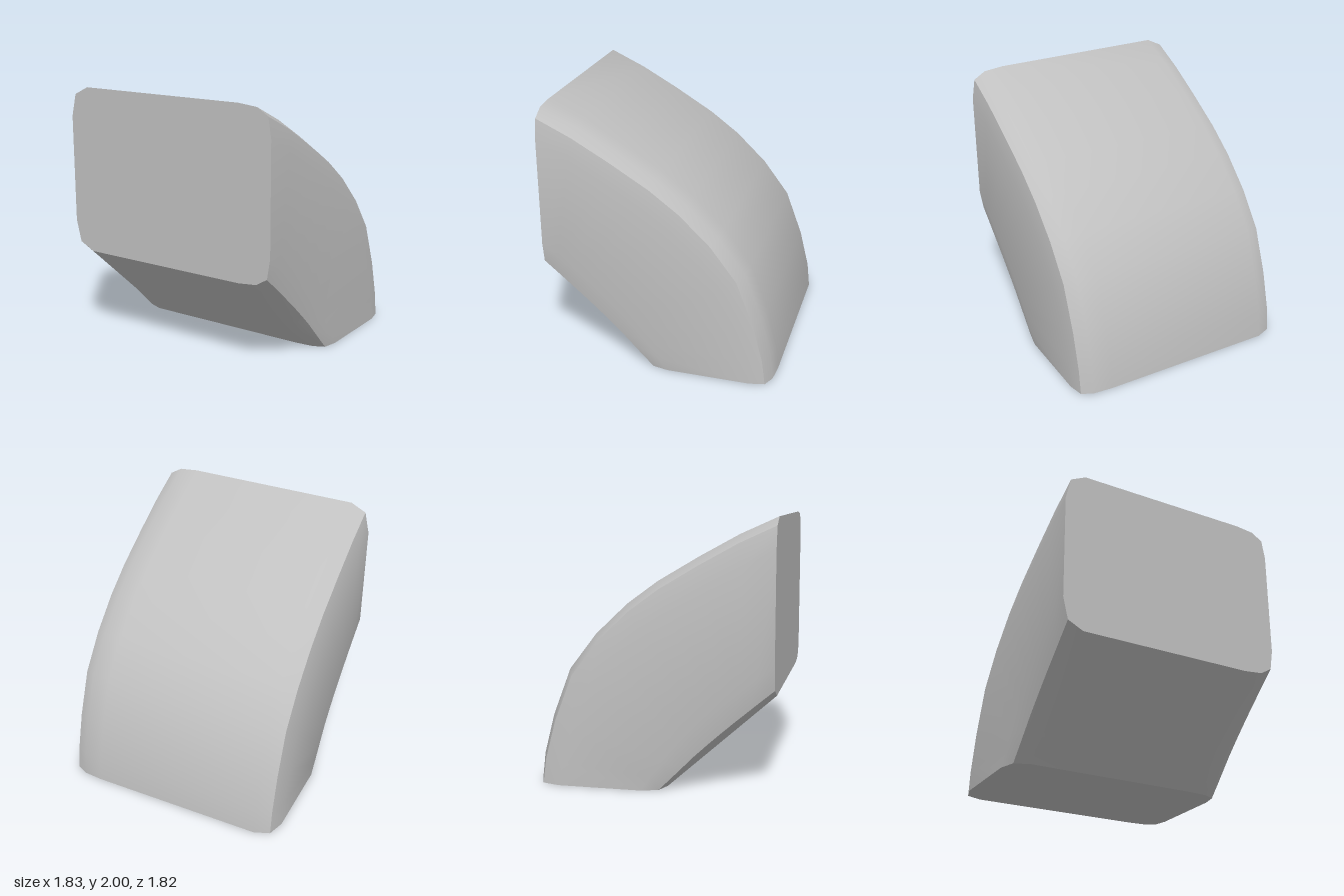
import * as THREE from 'three';
import { toCreasedNormals } from 'three/addons/utils/BufferGeometryUtils.js';

export function createModel() {
  const grey = new THREE.MeshStandardMaterial({ color: 0xc0c0c0 });
  grey.name = 'grey';

  // Outer curve of the elbow as [z, y], from the front opening to the base
  const outer = [[0.885, 2], [0.61, 1.875], [0.32, 1.715], [0.01, 1.53], [-0.22, 1.36],
    [-0.46, 1.13], [-0.665, 0.86], [-0.80, 0.5], [-0.875, 0.2], [-0.897, 0]];
  // Straight inner side runs between these two points
  const innerFront = [0.885, 0.72], innerBase = [0.083, 0];

  // Rounded section as [x, fraction from outer to inner side]
  const half = [[-0.895, 0.18], [-0.855, 0.047], [-0.735, 0],
    [0.63, 0], [0.78, 0.012], [0.87, 0.055], [0.895, 0.175]];
  const section = [...half, ...half.map(([x, f]) => [x, 1 - f]).reverse()];
  const n = section.length;

  // Loft the section along the bend
  const positions = [], index = [];
  outer.forEach(([oz, oy], i) => {
    const t = i / (outer.length - 1);
    const iz = THREE.MathUtils.lerp(innerFront[0], innerBase[0], t);
    const iy = THREE.MathUtils.lerp(innerFront[1], innerBase[1], t);
    for (const [x, f] of section) positions.push(x, oy + (iy - oy) * f, oz + (iz - oz) * f);
    if (i === 0) return;
    const a = (i - 1) * n, b = i * n;
    for (let j = 0; j < n; j++) {
      const k = (j + 1) % n;
      index.push(a + j, a + k, b + j, a + k, b + k, b + j);
    }
  });

  // Flat front and base caps
  const last = (outer.length - 1) * n;
  for (let j = 1; j < n - 1; j++) {
    index.push(0, j + 1, j);
    index.push(last, last + j, last + j + 1);
  }

  const geometry = new THREE.BufferGeometry();
  geometry.setAttribute('position', new THREE.Float32BufferAttribute(positions, 3));
  geometry.setIndex(index);
  const elbow = new THREE.Mesh(toCreasedNormals(geometry, 0.65), grey);
  elbow.name = 'elbowBlock';
  elbow.rotation.y = 0.026; // slight turn

  const group = new THREE.Group();
  group.name = 'elbow';
  group.add(elbow);
  return group;
}
